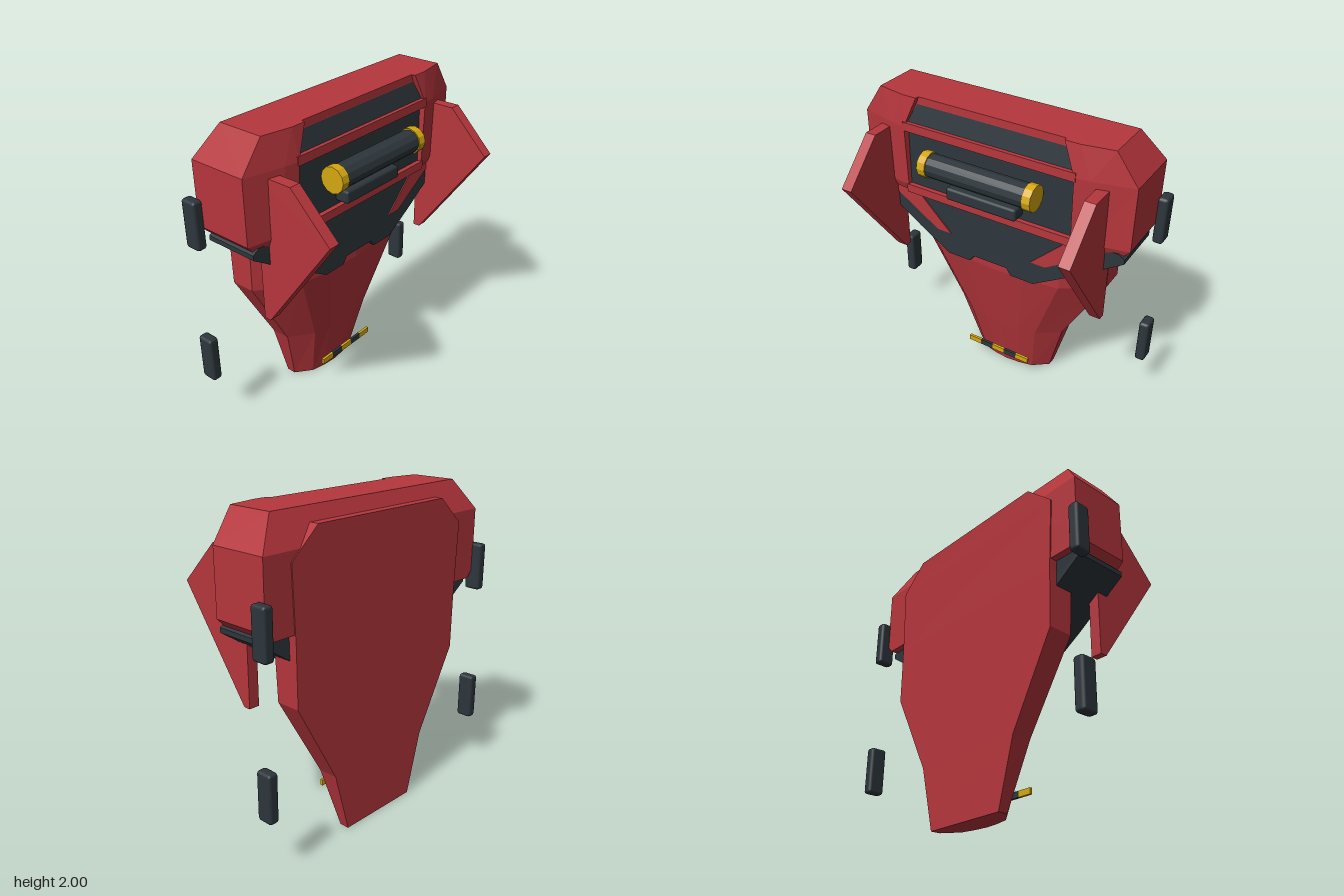
import * as THREE from 'three';
import { RoundedBoxGeometry } from 'three/addons/geometries/RoundedBoxGeometry.js';

const red = new THREE.MeshStandardMaterial({ color: 0xb5363c });
const dark = new THREE.MeshStandardMaterial({ color: 0x2d363c });
const yellow = new THREE.MeshStandardMaterial({ color: 0xd4a810 });
red.name = 'red paint';
dark.name = 'dark metal';
yellow.name = 'yellow trim';

// Faceted solid through rings of [x, y, z], each counter-clockwise seen from above
function loft(rings) {
  const pos = [];
  const tri = (a, b, c) => pos.push(...a, ...b, ...c);
  const n = rings[0].length;
  for (let i = 0; i < rings.length - 1; i++) {
    const a = rings[i], b = rings[i + 1];
    for (let j = 0; j < n; j++) {
      const k = (j + 1) % n;
      tri(a[j], a[k], b[k]);
      tri(a[j], b[k], b[j]);
    }
  }
  const lo = rings[0], hi = rings[rings.length - 1];
  for (let k = 1; k < n - 1; k++) {
    tri(lo[0], lo[k + 1], lo[k]);
    tri(hi[0], hi[k], hi[k + 1]);
  }
  const g = new THREE.BufferGeometry();
  g.setAttribute('position', new THREE.Float32BufferAttribute(pos, 3));
  g.computeVertexNormals();
  return g;
}

// Flat outline in x, y extruded from z0 to z1
function slab(points, z0, z1) {
  const shape = new THREE.Shape(points.map(p => new THREE.Vector2(...p)));
  return new THREE.ExtrudeGeometry(shape, { depth: z1 - z0, bevelEnabled: false }).translate(0, 0, z0);
}

// Outline in z, y extruded across x0 to x1
function sideSlab(points, x0, x1) {
  return slab(points.map(([z, y]) => [-z, y]), x0, x1).rotateY(Math.PI / 2);
}

export function createModel() {
  const model = new THREE.Group();
  const add = (name, geometry, material, x = 0, y = 0, z = 0) => {
    const m = new THREE.Mesh(geometry, material);
    m.name = name;
    m.position.set(x, y, z);
    model.add(m);
    return m;
  };
  const addPair = (name, geometry, material) => {
    add(name + 'Left', geometry, material);
    add(name + 'Right', geometry, material).scale.x = -1;
  };
  const box = (w, h, d) => new THREE.BoxGeometry(w, h, d);

  // Tapered shell: height, outer x, bevel z, inner x, inner z, centre z
  const hull = [
    [0, 0.29, -0.33, 0.19, -0.25, -0.22],
    [0.4, 0.40, -0.265, 0.25, -0.16, -0.13],
    [0.93, 0.695, -0.235, 0.45, -0.06, -0.018],
    [1.3, 0.70, -0.22, 0.47, -0.05, -0.01],
    [1.75, 0.72, -0.22, 0.47, -0.1, -0.08],
    [1.92, 0.53, -0.335, 0.4, -0.335, -0.335],
  ].map(([y, xo, zo, xi, zi, zc]) => {
    const zq = zc + (zi - zc) * 0.3;
    return [
      [-xo, y, zo], [-xi, y, zi], [-xi / 2, y, zq], [0, y, zc], [xi / 2, y, zq],
      [xi, y, zi], [xo, y, zo], [xo, y, -0.392], [-xo, y, -0.392],
    ];
  });
  add('lowerShell', loft(hull), red);

  // Centre block with sloping back and window ledge
  add('centreBlock', sideSlab([
    [-0.385, 1.36], [0.025, 1.36], [0.025, 1.84], [0.045, 1.84],
    [0.02, 1.955], [0.02, 2], [-0.29, 2], [-0.385, 1.81],
  ], -0.52, 0.52), red);

  // Side pods: height, inner x, inner z, middle x, middle z, outer x, outer z, back z
  const pod = [
    [1.36, 0.565, 0.04, 0.66, 0.03, 0.86, -0.01, -0.385],
    [1.41, 0.565, 0.06, 0.66, 0.05, 0.905, 0.0, -0.385],
    [1.81, 0.565, 0.072, 0.66, 0.06, 0.905, 0.0, -0.385],
    [2.0, 0.485, 0.045, 0.58, 0.045, 0.77, 0.01, -0.29],
  ].map(([y, xi, zi, xm, zm, xo, zo, zb]) => [
    [xi, y, zi], [xm, y, zm], [xo, y, zo], [xo, y, zb], [xi - 0.06, y, zb],
  ]);
  addPair('sidePod', loft(pod), red);

  // Recess panel, window and rails
  add('recessPanel', box(1.13, 0.38, 0.008), dark, 0, 1.6, 0.03);
  const w = [[-0.555, 1.84, 0.05], [0.555, 1.84, 0.05], [0.49, 1.955, 0.024], [-0.49, 1.955, 0.024]];
  const windowGeo = new THREE.BufferGeometry();
  windowGeo.setAttribute('position', new THREE.Float32BufferAttribute(
    [0, 1, 2, 0, 2, 3].flatMap(i => w[i]), 3));
  windowGeo.computeVertexNormals();
  add('upperWindow', windowGeo, dark);
  add('topRail', box(1.15, 0.055, 0.055), red, 0, 1.812, 0.047);
  add('bottomRail', box(1.15, 0.055, 0.055), red, 0, 1.387, 0.037);

  // Dark skirt with notched lower edge
  const half = [[0.12, 1.0], [0.15, 0.955], [0.31, 0.955], [0.53, 1.09], [0.88, 1.325], [0.88, 1.355], [0.84, 1.38]];
  const mirrored = half.map(([x, y]) => [-x, y]).reverse();
  add('skirt', slab([...half, ...mirrored], -0.34, 0.01), dark);
  addPair('skirtPatch', slab([[0.54, 1.36], [0.29, 1.115], [0.39, 1.115], [0.70, 1.31], [0.70, 1.36]], 0.01, 0.016), red);

  // Angular side fins
  addPair('sideFin', sideSlab([
    [-0.065, 0.855], [-0.02, 0.855], [0.45, 1.51], [0.19, 1.77], [-0.065, 1.77],
  ], 0.69, 0.76), red);

  // Roller with yellow end rings
  const drum = (r, len) => new THREE.CylinderGeometry(r, r, len, 12).rotateZ(Math.PI / 2).toNonIndexed();
  const facet = g => { g.computeVertexNormals(); return g; };
  add('roller', facet(drum(0.074, 0.74)), dark, 0, 1.65, 0.132);
  for (const s of [-1, 1]) add('rollerRing', facet(drum(0.081, 0.055)), yellow, s * 0.352, 1.65, 0.132);
  add('handleBar', new RoundedBoxGeometry(0.48, 0.08, 0.1, 1, 0.015), dark, 0, 1.48, 0.075);

  // Four detached side pads
  for (const s of [-1, 1]) for (const y of [0.505, 1.43]) {
    add('sidePad', new RoundedBoxGeometry(0.067, 0.305, 0.107, 1, 0.018), dark, s * 0.931, y, -0.394);
  }

  // Striped bar
  for (let i = 0; i < 5; i++) {
    add('stripe', box(0.094, 0.038, 0.018), i % 2 ? dark : yellow, (i - 2) * 0.094 - 0.003, 0.18, -0.108);
  }
  return model;
}
